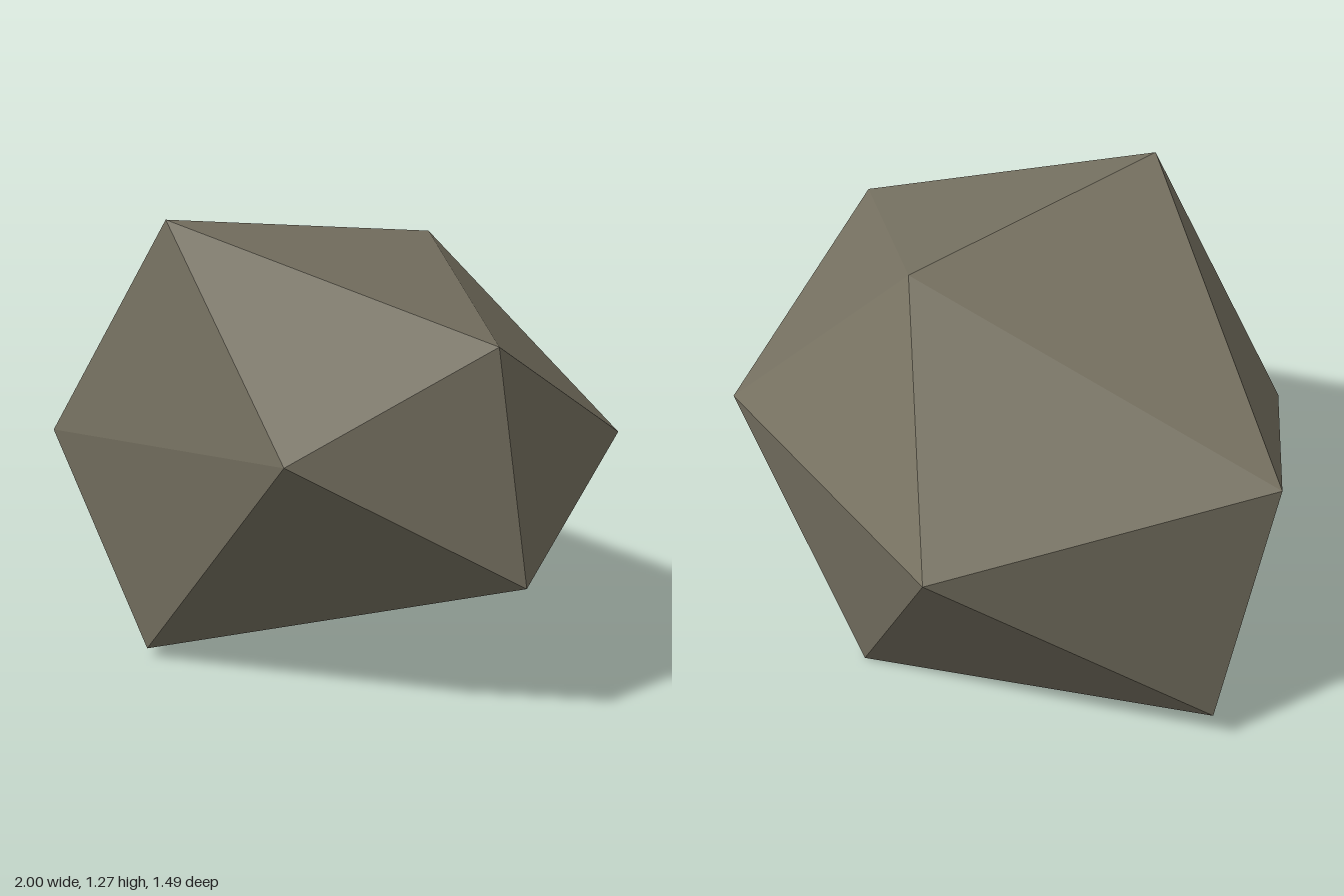
import * as THREE from 'three';

// Corners of an irregular twenty-sided boulder
const corners = {
  topFront: [0.06, 1.27, 0.66], topBack: [0.065, 1.19, -0.27],
  baseFront: [-0.07, 0.025, 0.665], baseBack: [-0.05, 0, -0.56],
  leftHigh: [0.87, 0.97, 0.165], leftLow: [1, 0.355, 0.175],
  rightHigh: [-1, 0.855, 0.165], rightLow: [-0.965, 0.1, 0.01],
  frontLeft: [0.68, 0.69, 0.715], frontRight: [-0.45, 0.62, 0.74],
  backLeft: [0.595, 0.62, -0.56], backRight: [-0.61, 0.75, -0.745],
};

// Add one facet, turned so that it faces away from the middle
function addFacet(out, names, middle) {
  const [a, b, c] = names.map((n) => new THREE.Vector3(...corners[n]));
  const normal = b.clone().sub(a).cross(c.clone().sub(a));
  const order = normal.dot(a.clone().sub(middle)) > 0 ? [a, b, c] : [a, c, b];
  order.forEach((p) => out.push(p.x, p.y, p.z));
}

function rockGeometry() {
  const out = [];
  const middle = new THREE.Vector3(0, 0.62, 0);
  const add = (...names) => addFacet(out, names, middle);

  // Facets beside the top ridge and the base ridge
  for (const side of ['left', 'right']) {
    add('topFront', 'topBack', side + 'High');
    add('baseFront', 'baseBack', side + 'Low');
  }
  for (const end of ['front', 'back']) {
    const End = end === 'front' ? 'Front' : 'Back';
    // Facets across each end
    add('top' + End, end + 'Left', end + 'Right');
    add('base' + End, end + 'Left', end + 'Right');
    // Facets around each side corner
    for (const side of ['left', 'right']) {
      const corner = end + (side === 'left' ? 'Left' : 'Right');
      add('top' + End, side + 'High', corner);
      add('base' + End, side + 'Low', corner);
      add(side + 'High', side + 'Low', corner);
    }
  }

  const geometry = new THREE.BufferGeometry();
  geometry.setAttribute('position', new THREE.Float32BufferAttribute(out, 3));
  geometry.computeVertexNormals();
  return geometry;
}

export function createModel() {
  const group = new THREE.Group();
  group.name = 'boulder';
  const stone = new THREE.MeshStandardMaterial({ color: 0x757060 });
  stone.name = 'stone';
  stone.flatShading = true;
  const rock = new THREE.Mesh(rockGeometry(), stone);
  rock.name = 'rock';
  group.add(rock);
  return group;
}
